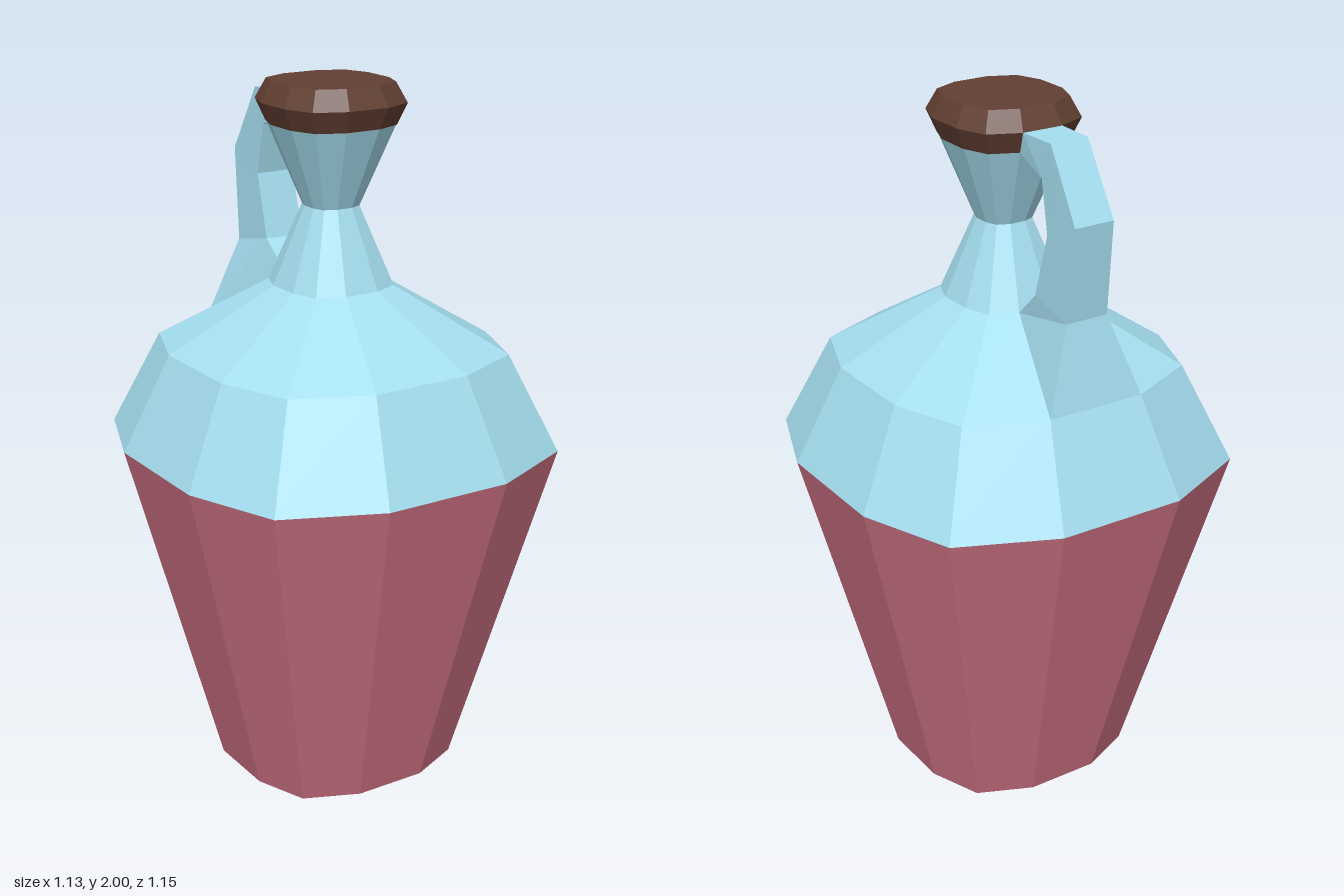
import * as THREE from 'three';

// Joins a list of point rings (counter-clockwise seen along the path) with faces and end caps
function loft(rings, capStart = true, capEnd = true) {
  const n = rings[0].length;
  const index = [];
  for (let i = 0; i < rings.length - 1; i++) {
    for (let j = 0; j < n; j++) {
      const k = (j + 1) % n;
      const a = i * n + j, b = i * n + k;
      index.push(a, b, b + n, a, b + n, a + n);
    }
  }
  const last = (rings.length - 1) * n;
  for (let j = 1; j < n - 1; j++) {
    if (capStart) index.push(0, j + 1, j);
    if (capEnd) index.push(last, last + j, last + j + 1);
  }
  const geometry = new THREE.BufferGeometry();
  geometry.setAttribute('position', new THREE.Float32BufferAttribute(rings.flat(2), 3));
  geometry.setIndex(index);
  const flat = geometry.toNonIndexed();
  flat.computeVertexNormals();
  return flat;
}

// Twelve-sided rounded-square ring with half width r at height y
function ring([r, y]) {
  const quarter = [[-0.335, 1.022], [0.335, 1.022], [0.82, 0.81]];
  const rightSide = [[1, 0.335], [1, -0.335], [0.82, -0.81]];
  const half = [...quarter, ...rightSide];
  const outline = [...half, ...half.map(([x, z]) => [-x, -z])];
  return outline.map(([x, z]) => [x * r, y, z * r]);
}

function part(name, geometry, color) {
  const material = new THREE.MeshStandardMaterial({ color, flatShading: true });
  const mesh = new THREE.Mesh(geometry, material);
  mesh.name = name;
  return mesh;
}

export function createModel() {
  const group = new THREE.Group();
  group.name = 'jug';
  const glass = 0xa5deef, red = 0xc86f80, brown = 0x613f32;

  // Tapered lower body
  group.add(part('lowerBody', loft([[0.315, 0], [0.565, 0.985]].map(ring), true, false), red));

  // Shoulder and pinched neck
  const profile = [[0.565, 0.985], [0.437, 1.26], [0.155, 1.44], [0.07, 1.66], [0.158, 1.89]];
  group.add(part('shoulderAndNeck', loft(profile.map(ring), false, false), glass));

  // Stopper with bevelled rim
  group.add(part('stopper', loft([[0.158, 1.885], [0.183, 1.945], [0.155, 2]].map(ring)), brown));

  // Handle sections: inner z, y, half width; outer z, y, half width
  const sections = [
    [-0.158, 1.44, 0.052, -0.447, 1.26, 0.146],
    [-0.245, 1.52, 0.06, -0.395, 1.49, 0.065],
    [-0.295, 1.70, 0.058, -0.42, 1.755, 0.06],
    [-0.265, 1.845, 0.056, -0.305, 1.945, 0.057],
    [-0.155, 1.887, 0.053, -0.185, 1.945, 0.061],
  ];
  const handleRings = sections.map(([zi, yi, wi, zo, yo, wo]) =>
    [[-wi, yi, zi], [wi, yi, zi], [wo, yo, zo], [-wo, yo, zo]]);
  group.add(part('handle', loft(handleRings, false, false), glass));

  return group;
}
